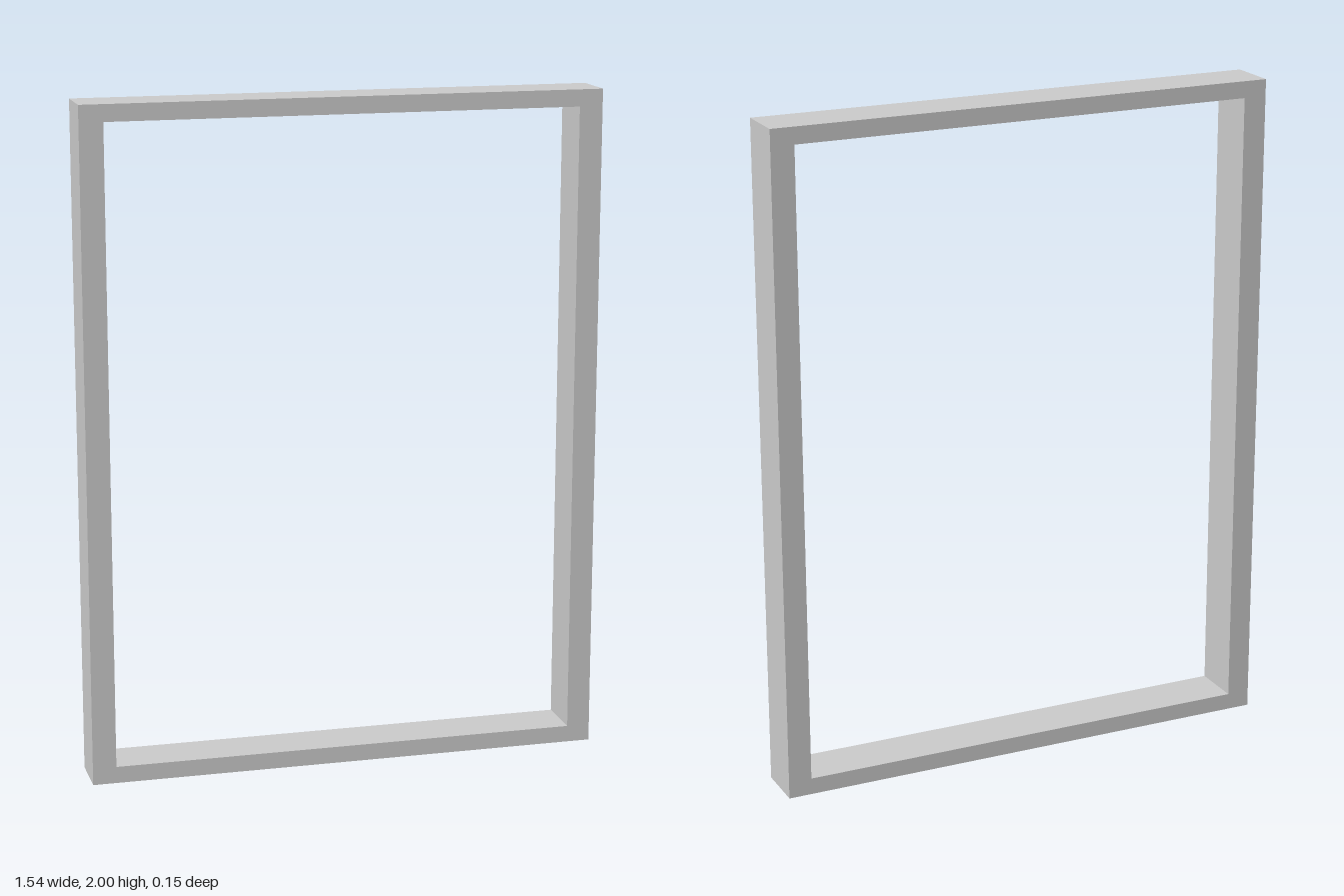
import * as THREE from 'three';

const WIDTH = 1.54, HEIGHT = 2, DEPTH = 0.154;
const STILE = 0.07, RAIL = 0.05; // widths of the upright and horizontal members

// Traces a rectangle centred on x = 0
function rectangle(path, halfWidth, bottom, top) {
  path.moveTo(-halfWidth, bottom);
  path.lineTo(halfWidth, bottom);
  path.lineTo(halfWidth, top);
  path.lineTo(-halfWidth, top);
  path.closePath();
  return path;
}

export function createModel() {
  const group = new THREE.Group();
  group.name = 'openFrame';

  // One continuous rectangular frame with an open centre
  const outline = rectangle(new THREE.Shape(), WIDTH / 2, 0, HEIGHT);
  outline.holes.push(rectangle(new THREE.Path(), WIDTH / 2 - STILE, RAIL, HEIGHT - RAIL));
  const geometry = new THREE.ExtrudeGeometry(outline, { depth: DEPTH, bevelEnabled: false });
  geometry.translate(0, 0, -DEPTH / 2);

  const frame = new THREE.Mesh(geometry, new THREE.MeshStandardMaterial({ color: 0xcccccc }));
  frame.name = 'frame';
  group.add(frame);
  return group;
}
